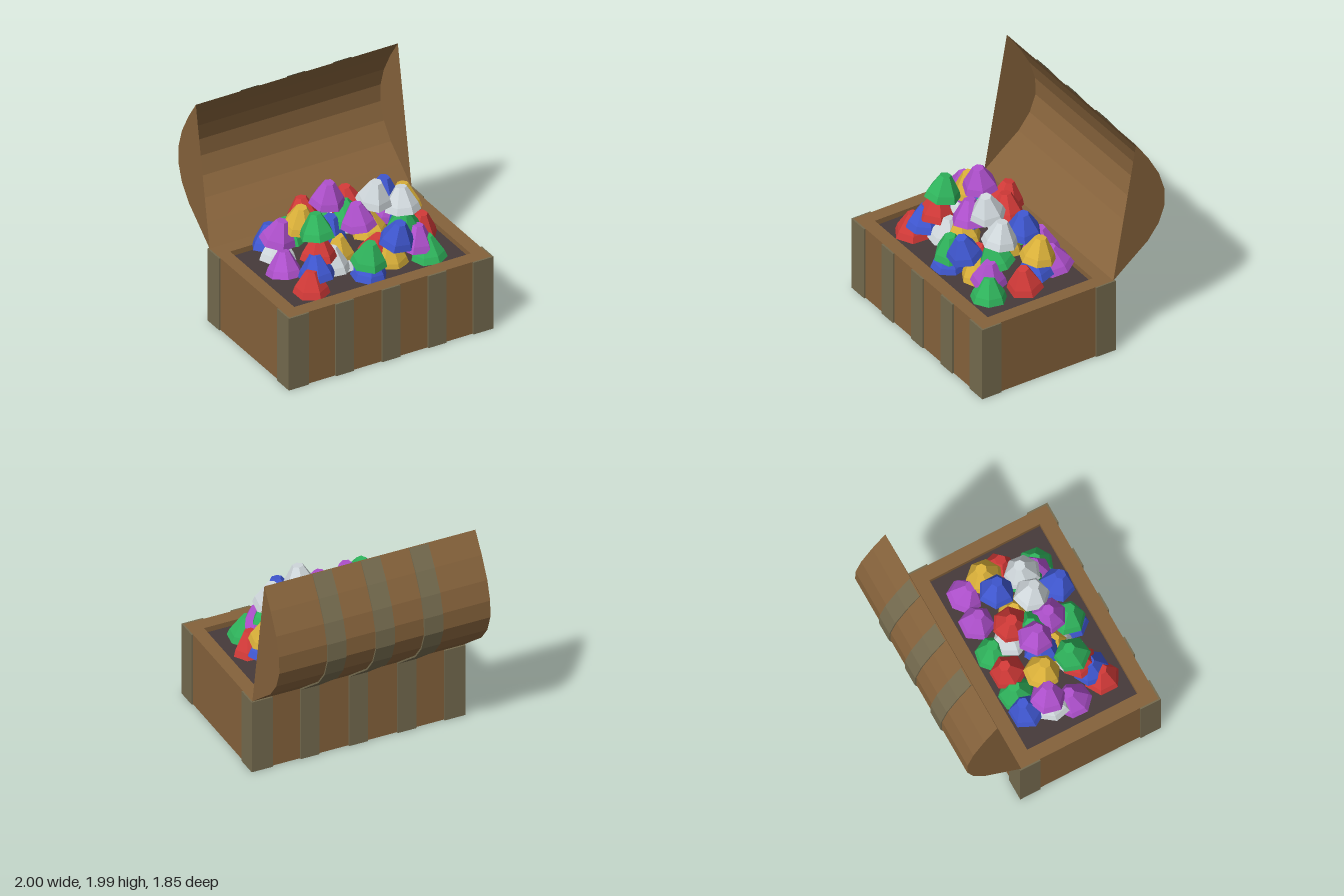
import * as THREE from 'three';

const mat = (color, side = THREE.FrontSide) =>
  new THREE.MeshStandardMaterial({ color, flatShading: true, side });

const WOOD = mat(0x85623b), WOOD_SHELL = mat(0x85623b, THREE.DoubleSide);
const BAND = mat(0x746a4e), BAND_SHELL = mat(0x746a4e, THREE.DoubleSide);
const DARK = mat(0x463a3a);
const GEM = {
  red: mat(0xd23a38), green: mat(0x2fb45c), blue: mat(0x3f57d0),
  purple: mat(0xae50cc), yellow: mat(0xdcb23a), white: mat(0xd0d8dc),
};

function add(parent, name, geometry, material, x = 0, y = 0, z = 0) {
  const m = new THREE.Mesh(geometry, material);
  m.name = name;
  m.position.set(x, y, z);
  parent.add(m);
  return m;
}

const box = (w, h, d) => new THREE.BoxGeometry(w, h, d);

// Open strip swept along x from a (z, y) profile
function strip(profile, x0, x1) {
  const pos = [], idx = [];
  profile.forEach(([z, y], i) => {
    pos.push(x0, y, z, x1, y, z);
    if (i) {
      const a = 2 * i - 2;
      idx.push(a, a + 2, a + 1, a + 1, a + 2, a + 3);
    }
  });
  const g = new THREE.BufferGeometry();
  g.setAttribute('position', new THREE.Float32BufferAttribute(pos, 3));
  g.setIndex(idx);
  const flat = g.toNonIndexed();
  flat.computeVertexNormals();
  return flat;
}

function buildChest() {
  const chest = new THREE.Group();
  chest.name = 'chest';

  // Walls: a rectangle with a rectangular opening, extruded upward
  const outer = new THREE.Shape([[-0.985, -0.91], [0.985, -0.91], [0.985, 0.4], [-0.985, 0.4]]
    .map(p => new THREE.Vector2(...p)));
  outer.holes.push(new THREE.Path([[-0.86, -0.78], [-0.86, 0.275], [0.86, 0.275], [0.86, -0.78]]
    .map(p => new THREE.Vector2(...p))));
  const walls = new THREE.ExtrudeGeometry(outer, { depth: 0.7, bevelEnabled: false });
  walls.rotateX(-Math.PI / 2);
  add(chest, 'walls', walls, WOOD);
  add(chest, 'bottom', box(1.72, 0.05, 1.055), WOOD, 0, 0.025, 0.2525);
  add(chest, 'innerFloor', box(1.72, 0.6, 1.055), DARK, 0, 0.35, 0.2525);

  // Upright bands on front and back
  for (const x of [-0.452, 0, 0.452]) {
    add(chest, 'frontBand', box(0.176, 0.7, 0.016), BAND, x, 0.35, 0.918);
    add(chest, 'backBand', box(0.176, 0.7, 0.016), BAND, x, 0.35, -0.408);
  }
  // Corner bands wrap both faces of each corner
  for (const s of [-1, 1]) {
    for (const [zFace, dir] of [[0.918, -1], [-0.408, 1]]) {
      add(chest, 'cornerBand', box(0.195, 0.7, 0.016), BAND, s * 0.9, 0.35, zFace);
      add(chest, 'cornerSideBand', box(0.014, 0.7, 0.19), BAND, s * 0.992, 0.35, zFace + dir * 0.091);
    }
  }
  return chest;
}

function buildLid() {
  const lid = new THREE.Group();
  lid.name = 'lid';
  const arc = [[-0.4, 0.7], [-0.58, 0.845], [-0.745, 0.975], [-0.857, 1.12], [-0.915, 1.28],
    [-0.912, 1.445], [-0.857, 1.62], [-0.752, 1.81], [-0.628, 1.99]];
  add(lid, 'lidShell', strip(arc, -0.985, 0.985), WOOD_SHELL);

  // End panels
  const end = new THREE.ShapeGeometry(new THREE.Shape(arc.map(([z, y]) => new THREE.Vector2(-z, y))));
  end.rotateY(Math.PI / 2);
  for (const s of [-1, 1]) add(lid, 'lidEnd', end, WOOD_SHELL, s * 0.985);

  // Curved bands, pushed slightly out from the shell
  const raised = arc.map(([z, y], i) => {
    const a = arc[Math.max(i - 1, 0)], b = arc[Math.min(i + 1, arc.length - 1)];
    const dz = b[0] - a[0], dy = b[1] - a[1], l = Math.hypot(dz, dy);
    return [z - 0.014 * dy / l, Math.min(y + 0.014 * dz / l, 1.99)];
  });
  for (const x of [-0.452, 0, 0.452]) {
    add(lid, 'lidBand', strip(raised, x - 0.088, x + 0.088), BAND_SHELL);
    for (const e of [-0.088, 0.088]) {
      const side = new THREE.Shape([...arc, ...raised.slice().reverse()]
        .map(([z, y]) => new THREE.Vector2(-z, y)));
      const g = new THREE.ShapeGeometry(side);
      g.rotateY(Math.PI / 2);
      add(lid, 'lidBandEdge', g, BAND_SHELL, x + e);
    }
  }
  return lid;
}

function buildGems() {
  const gems = new THREE.Group();
  gems.name = 'gems';
  // Small flat top, sloping sides, shallow pointed underside
  const profile = [[0, -0.05], [0.16, 0], [0.14, 0.06], [0.05, 0.21], [0, 0.21]]
    .map(p => new THREE.Vector2(...p));
  const cuts = [6, 7].map(n => new THREE.LatheGeometry(profile, n));

  // Colour, x, girdle height, z
  const pile = [
    ['blue', -0.57, 0.74, -0.12], ['green', -0.39, 0.74, -0.12], ['red', -0.24, 0.9, -0.12],
    ['green', 0.02, 0.72, -0.12], ['purple', 0.31, 0.76, -0.12], ['purple', 0.58, 0.74, -0.09],
    ['purple', -0.6, 0.89, 0.06], ['yellow', -0.41, 1.0, 0.11], ['purple', -0.18, 1.2, 0.17],
    ['red', 0.08, 1.03, 0.08], ['blue', 0.39, 1.04, 0.11], ['yellow', 0.6, 0.9, 0.11],
    ['white', 0.18, 1.18, 0.33], ['white', 0.43, 1.06, 0.38], ['green', -0.41, 1.06, 0.4],
    ['purple', 0, 1.04, 0.39], ['red', 0.66, 0.7, 0.27], ['purple', -0.66, 0.7, 0.28],
    ['red', -0.58, 0.66, 0.59], ['blue', -0.49, 0.76, 0.53], ['red', -0.43, 0.88, 0.45],
    ['white', -0.29, 0.72, 0.44], ['green', -0.01, 0.76, 0.57], ['blue', -0.02, 0.65, 0.59],
    ['blue', 0.24, 0.91, 0.6], ['green', 0.57, 0.65, 0.58], ['purple', 0.48, 0.75, 0.52],
    ['green', 0.43, 0.87, 0.4], ['green', -0.02, 1.0, 0.25], ['white', -0.62, 0.75, 0.1],
    ['yellow', -0.18, 0.76, 0.34], ['yellow', 0.26, 0.66, 0.47], ['blue', 0.6, 0.74, 0.13],
    ['red', 0.17, 0.7, 0.38], ['white', -0.2, 0.66, 0.4], ['yellow', 0.22, 0.8, 0.2],
    ['blue', -0.2, 0.9, 0.22], ['white', 0.02, 0.85, 0.05],
  ];
  let seed = 7;
  const rand = () => (seed = (seed * 16807) % 2147483647) / 2147483647;
  pile.forEach(([color, x, y, z], i) => {
    const gem = add(gems, color + 'Gem', cuts[i % 2], GEM[color], x, y, z);
    gem.rotation.set((rand() - 0.5) * 0.4, rand() * 6.28, (rand() - 0.5) * 0.4);
  });
  return gems;
}

export function createModel() {
  const model = new THREE.Group();
  model.name = 'treasureChest';
  model.add(buildChest(), buildLid(), buildGems());
  return model;
}
